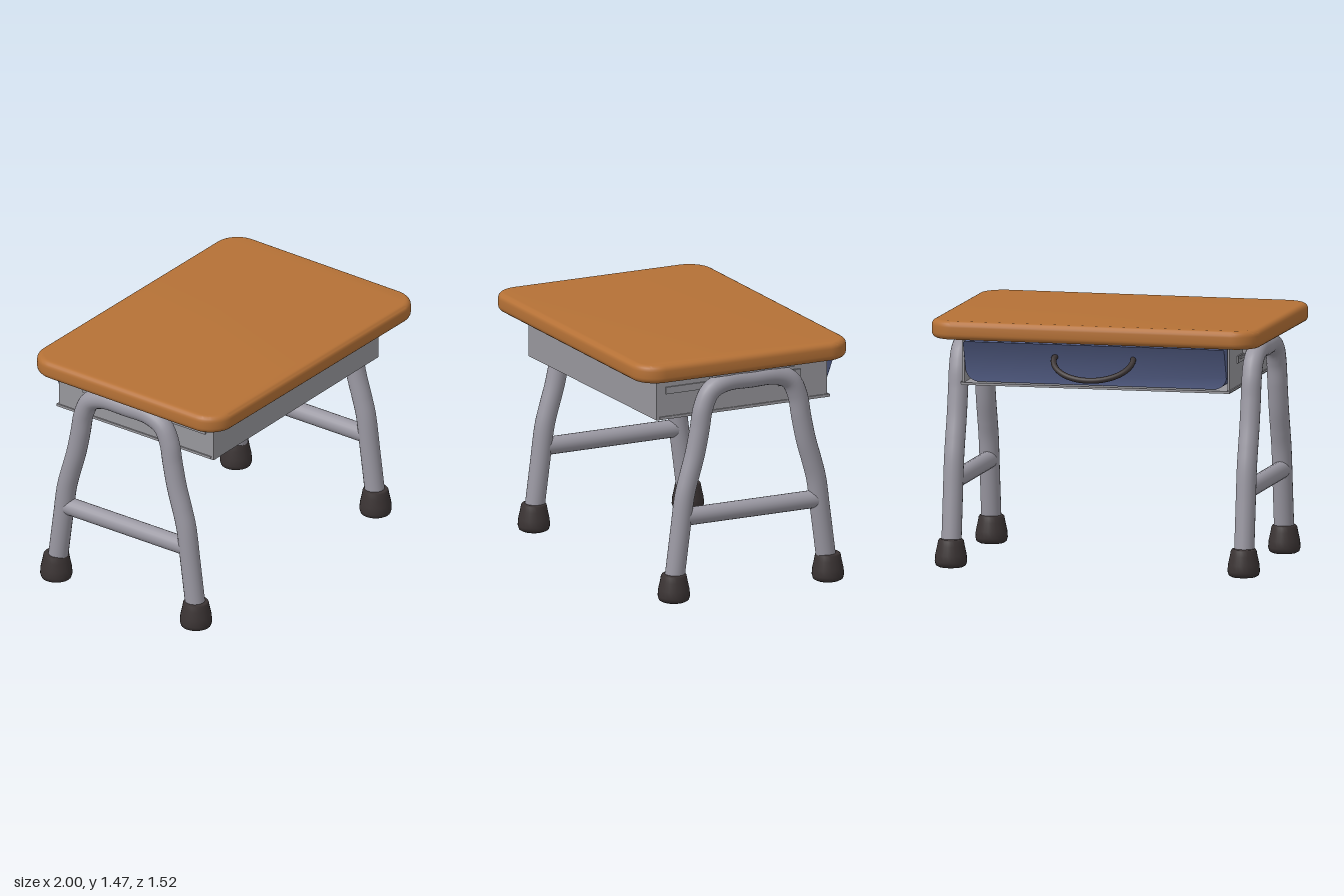
import * as THREE from 'three';
import { toCreasedNormals } from 'three/addons/utils/BufferGeometryUtils.js';

const material = (name, color, side = THREE.FrontSide) => {
  const m = new THREE.MeshStandardMaterial({ color, side });
  m.name = name;
  return m;
};

// Rectangle outline with separate radii for the lower and upper corners
function roundedRect(x0, y0, x1, y1, low, high = low) {
  const s = new THREE.Shape();
  s.moveTo(x0 + low, y0);
  s.lineTo(x1 - low, y0);
  s.absarc(x1 - low, y0 + low, low, -Math.PI / 2, 0);
  s.lineTo(x1, y1 - high);
  s.absarc(x1 - high, y1 - high, high, 0, Math.PI / 2);
  s.lineTo(x0 + high, y1);
  s.absarc(x0 + high, y1 - high, high, Math.PI / 2, Math.PI);
  s.lineTo(x0, y0 + low);
  s.absarc(x0 + low, y0 + low, low, Math.PI, Math.PI * 1.5);
  return s;
}

export function createModel() {
  const desk = new THREE.Group();
  desk.name = 'schoolDesk';
  const wood = material('wood', 0xb57136);
  const steel = material('steelTube', 0x9a98a2);
  const sheet = material('sheetMetal', 0x98979c);
  const blue = material('blueDrawer', 0x56618a);
  const rubber = material('darkRubber', 0x3b3434);

  function add(parent, name, geometry, mat, x = 0, y = 0, z = 0) {
    const mesh = new THREE.Mesh(geometry, mat);
    mesh.name = name;
    mesh.position.set(x, y, z);
    parent.add(mesh);
    return mesh;
  }
  const box = (parent, name, mat, w, h, d, x, y, z) =>
    add(parent, name, new THREE.BoxGeometry(w, h, d), mat, x, y, z);

  // Tabletop: rounded slab with soft edges, set very slightly askew
  const bevel = 0.035;
  const topGeo = new THREE.ExtrudeGeometry(
    roundedRect(-0.993 + bevel, -0.695 + bevel, 0.993 - bevel, 0.695 - bevel, 0.12),
    { depth: 0.11 - 2 * bevel, bevelThickness: bevel, bevelSize: bevel, bevelSegments: 5, curveSegments: 10 }
  );
  topGeo.rotateX(-Math.PI / 2);
  const top = add(desk, 'tabletop', toCreasedNormals(topGeo, 0.7), wood, 0, 1.355 + bevel, 0.055);
  top.rotation.y = -0.012;

  // Sheet metal tray, open at the back
  const tray = new THREE.Group();
  tray.name = 'tray';
  desk.add(tray);
  box(tray, 'trayBottom', sheet, 1.615, 0.014, 1.145, 0, 1.093, 0.007);
  box(tray, 'trayFront', sheet, 1.615, 0.262, 0.014, 0, 1.218, 0.573);
  for (const s of [-1, 1]) {
    box(tray, 'traySide', sheet, 0.014, 0.25, 1.125, s * 0.797, 1.221, 0.015);
    box(tray, 'sideRail', sheet, 0.01, 0.042, 0.89, s * 0.808, 1.26, 0.075);
    box(tray, 'railCatch', sheet, 0.012, 0.016, 0.16, s * 0.815, 1.267, -0.25);
    box(tray, 'bottomFlange', sheet, 0.012, 0.012, 1.12, s * 0.806, 1.098, 0);
  }

  // Blue drawer: rounded lower corners, back face flaring outward to the top
  const drawerGeo = new THREE.ExtrudeGeometry(
    roundedRect(-0.785, 1.105, 0.785, 1.35, 0.08, 0.01),
    { depth: 1.06, bevelEnabled: false, curveSegments: 8 }
  );
  drawerGeo.translate(0, 0, -0.54);
  const p = drawerGeo.attributes.position;
  for (let i = 0; i < p.count; i++) {
    if (p.getZ(i) < -0.5) {
      const t = (p.getY(i) - 1.105) / 0.245;
      p.setZ(i, -0.54 - 0.075 * t * t);
    }
  }
  add(desk, 'drawer', toCreasedNormals(drawerGeo, 0.6), blue);

  // Bow handle sloping down behind the drawer
  const bow = [];
  for (let i = 0; i <= 16; i++) {
    const a = (i / 16) * Math.PI;
    const reach = 0.172 * Math.sin(a);
    bow.push(new THREE.Vector3(0.238 * Math.cos(a), 1.268 - 0.62 * reach, -0.608 - 0.78 * reach));
  }
  bow.unshift(new THREE.Vector3(0.23, 1.277, -0.575));
  bow.push(new THREE.Vector3(-0.23, 1.277, -0.575));
  add(desk, 'handle', new THREE.TubeGeometry(new THREE.CatmullRomCurve3(bow), 48, 0.017, 10), rubber);

  // Leg frames: bent tube, crossbar, feet and top mount
  const half = [[0.508, 0.08], [0.463, 0.42], [0.434, 0.63], [0.405, 0.74], [0.367, 0.87],
    [0.335, 1.02], [0.311, 1.15], [0.262, 1.245], [0.165, 1.288], [0, 1.291]];
  const path = half.map(([z, y]) => new THREE.Vector3(0, y, z));
  half.slice(0, -1).reverse().forEach(([z, y]) => path.push(new THREE.Vector3(0, y, -z)));
  const legGeo = new THREE.TubeGeometry(new THREE.CatmullRomCurve3(path, false, 'centripetal'), 110, 0.059, 20);
  const barGeo = new THREE.CylinderGeometry(0.053, 0.053, 0.86, 20, 1, true).rotateX(Math.PI / 2);
  const footGeo = new THREE.LatheGeometry(
    [[0, 0], [0.07, 0.002], [0.088, 0.012], [0.095, 0.035], [0.092, 0.075], [0.081, 0.125],
      [0.075, 0.158], [0.068, 0.167], [0, 0.167]].map(([r, y]) => new THREE.Vector2(r, y)), 24);
  const gusset = new THREE.Shape([[0.025, 1.355], [-0.085, 1.355], [-0.065, 1.22], [-0.045, 1.2]]
    .map(([x, y]) => new THREE.Vector2(x, y)));
  const gussetGeo = new THREE.ExtrudeGeometry(gusset, { depth: 0.02, bevelEnabled: false });

  for (const s of [-1, 1]) {
    const frame = new THREE.Group();
    frame.name = s > 0 ? 'leftLegFrame' : 'rightLegFrame';
    frame.position.x = s * 0.88;
    desk.add(frame);
    add(frame, 'bentLegTube', legGeo, steel);
    add(frame, 'crossbar', barGeo, steel, 0, 0.502, 0);
    box(frame, 'topMount', steel, 0.11, 0.025, 0.54, -s * 0.015, 1.346, 0);
    for (const z of [0.21, -0.23]) {
      const g = add(frame, 'gusset', gussetGeo, sheet, 0, 0, z);
      if (s < 0) { // turned half round to face the tray
        g.rotation.y = Math.PI;
        g.position.z = z + 0.02;
      }
    }
    for (const z of [0.505, -0.512]) add(frame, 'foot', footGeo, rubber, 0, 0, z);
  }
  return desk;
}
